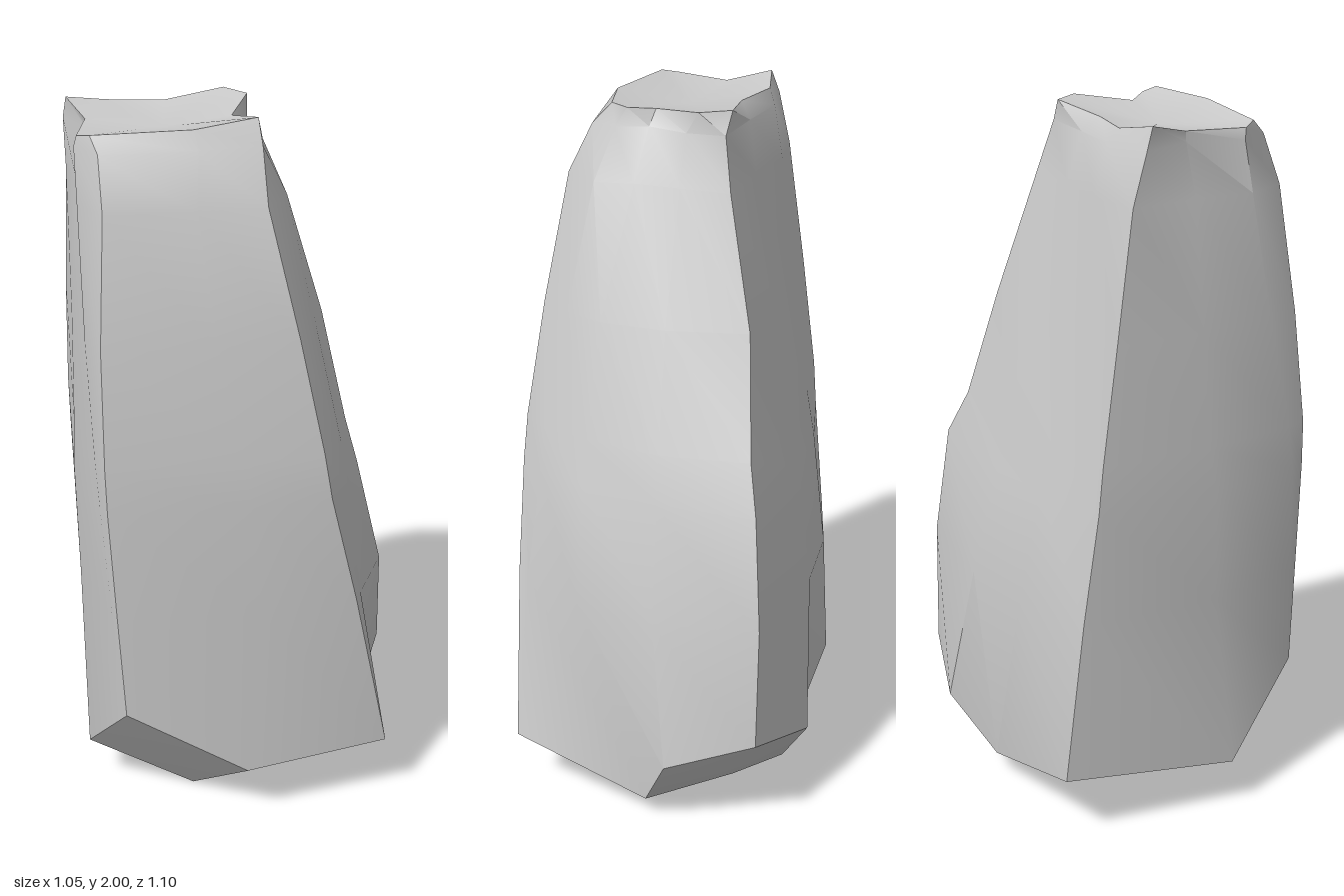
import * as THREE from 'three';
import { toCreasedNormals } from 'three/addons/utils/BufferGeometryUtils.js';

// Twelve columns run around the rock: right edge, front-right face, front edge (two sides),
// front-left face, left edge, back-left face (two), back edge, back-right face (two),
// rear of right edge.
const BASE = [
  [0.52, 0.19, -0.02], [0.26, 0.17, 0.31], [0, 0.38, 0.53], [0, 0.38, 0.53],
  [-0.23, 0.15, 0.41], [-0.53, 0.2, 0], [-0.21, 0.07, -0.3], [-0.21, 0.25, -0.44],
  [0.02, 0.32, -0.55], [0.25, 0.25, -0.44], [0.25, 0.07, -0.32], [0.52, 0.19, -0.02],
];
// Height, then x and z of every column
const RINGS = [
  [0.68, [[0.46, 0.07], [0.29, 0.29], [-0.015, 0.54], [-0.04, 0.53], [-0.28, 0.36], [-0.525, 0.05],
    [-0.41, -0.16], [-0.26, -0.34], [0.01, -0.54], [0.25, -0.37], [0.39, -0.18], [0.45, 0.03]]],
  [1, [[0.41, 0.13], [0.26, 0.3], [-0.03, 0.55], [-0.07, 0.53], [-0.29, 0.36], [-0.515, 0.09],
    [-0.4, -0.1], [-0.26, -0.26], [0, -0.49], [0.2, -0.3], [0.34, -0.12], [0.4, 0.03]]],
  [1.13, [[0.39, 0.14], [0.25, 0.3], [-0.035, 0.55], [-0.09, 0.52], [-0.3, 0.34], [-0.51, 0.1],
    [-0.39, -0.07], [-0.25, -0.23], [-0.02, -0.42], [0.18, -0.27], [0.31, -0.1], [0.38, 0.04]]],
  [1.45, [[0.32, 0.16], [0.17, 0.32], [-0.06, 0.52], [-0.15, 0.47], [-0.31, 0.32], [-0.48, 0.13],
    [-0.37, 0], [-0.23, -0.17], [-0.07, -0.31], [0.12, -0.19], [0.25, -0.06], [0.3, 0.05]]],
  [1.8, [[0.23, 0.18], [0.1, 0.31], [-0.08, 0.47], [-0.2, 0.42], [-0.3, 0.29], [-0.44, 0.16],
    [-0.35, 0.04], [-0.21, -0.07], [-0.07, -0.19], [0.03, -0.09], [0.12, 0], [0.21, 0.06]]],
  [1.94, [[0.18, 0.13], [0.07, 0.26], [-0.12, 0.43], [-0.22, 0.4], [-0.28, 0.26], [-0.42, 0.19],
    [-0.34, 0.07], [-0.21, -0.03], [-0.08, -0.14], [0, -0.07], [0.06, 0.03], [0.14, 0.07]]],
];
const RIM = [
  [0.14, 2, 0.09], [0.05, 1.99, 0.25], [-0.16, 1.98, 0.41], [-0.21, 1.97, 0.4],
  [-0.29, 1.97, 0.26], [-0.4, 2, 0.2], [-0.34, 1.98, 0.1], [-0.21, 1.98, 0.02],
  [-0.11, 2, -0.12], [-0.02, 2, -0.1], [0.03, 1.98, 0.05], [0.11, 1.99, 0.06],
];

function creasedMesh(name, triangles, crease) {
  const geometry = new THREE.BufferGeometry();
  geometry.setAttribute('position', new THREE.Float32BufferAttribute(triangles.flat(2), 3));
  const mesh = new THREE.Mesh(
    toCreasedNormals(geometry, crease),
    new THREE.MeshStandardMaterial({ color: 0xcccccc }),
  );
  mesh.name = name;
  return mesh;
}

// Triangles from a closed outline to one inner point
const fan = (outline, centre) =>
  outline.map((p, i) => [p, outline[(i + 1) % outline.length], centre]);

export function createModel() {
  const group = new THREE.Group();
  group.name = 'rockPillar';

  const rows = [BASE, ...RINGS.map(([y, ring]) => ring.map(([x, z]) => [x, y, z])), RIM];
  const count = BASE.length;

  // Sides; coinciding base corners need only one triangle
  const sides = [];
  for (let r = 0; r < rows.length - 1; r++) {
    for (let i = 0; i < count; i++) {
      const j = (i + 1) % count;
      const [a, b, c, d] = [rows[r][i], rows[r][j], rows[r + 1][j], rows[r + 1][i]];
      if (a.some((v, k) => v !== b[k])) sides.push([a, c, b]);
      sides.push([a, d, c]);
    }
  }
  group.add(creasedMesh('rockSides', sides, 0.65));

  // Slightly hollow top
  group.add(creasedMesh('rockTop', fan([...RIM].reverse(), [-0.12, 1.95, 0.15]), 0.8));

  // Cut facets of the foot, meeting in a keel; the back facet bulges
  const keelFront = [0.02, 0, 0.24];
  const keelBack = [0.02, 0, -0.2];
  const [right, frontRight, front, , frontLeft, left, lowLeft, rearLeft, back, rearRight, lowRight] = BASE;
  const facets = {
    frontFacet: fan([frontRight, front, frontLeft, keelFront], [0.01, 0.18, 0.38]),
    rightFacet: fan([right, frontRight, keelFront, keelBack, lowRight], [0.25, 0.1, 0.02]),
    leftFacet: fan([frontLeft, left, lowLeft, keelBack, keelFront], [-0.23, 0.1, 0.04]),
    backFacet: fan([rearLeft, back, rearRight, lowRight, keelBack, lowLeft], [0.02, 0.15, -0.42]),
  };
  for (const [name, triangles] of Object.entries(facets)) {
    group.add(creasedMesh(name, triangles, 1));
  }

  return group;
}
